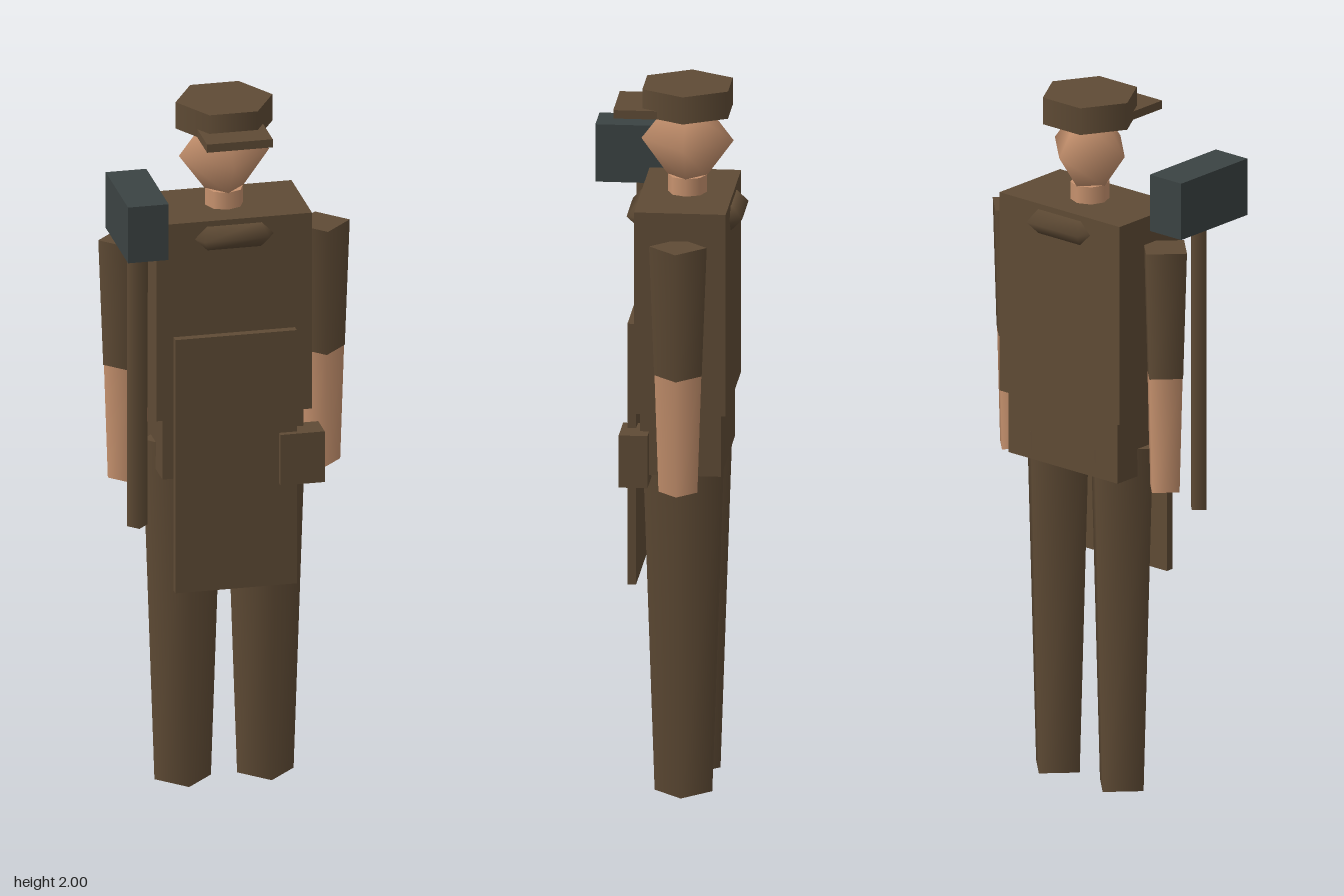
import * as THREE from 'three';

export function createModel() {
  const model = new THREE.Group();
  const material = (name, color) => {
    const m = new THREE.MeshStandardMaterial({ color });
    m.name = name;
    return m;
  };
  const cloth = material('brown cloth', 0x5f4b35);
  const skin = material('skin', 0xc8936f);
  const iron = material('dark iron', 0x3b4343);
  const BODY_Z = -0.06; // the body stands slightly behind the centre

  const add = (name, geometry, mat, x, y, z) => {
    const mesh = new THREE.Mesh(geometry, mat);
    mesh.name = name;
    mesh.position.set(x, y, z);
    model.add(mesh);
    return mesh;
  };
  // Box given by its limits on each axis
  const box = (name, mat, [x0, x1], [y0, y1], [z0, z1]) =>
    add(name, new THREE.BoxGeometry(x1 - x0, y1 - y0, z1 - z0), mat,
      (x0 + x1) / 2, (y0 + y1) / 2, (z0 + z1) / 2);
  // Upright tapered prism with a corner on the x axis
  const post = (name, mat, x, z, [y0, y1], rBottom, rTop, sides) =>
    add(name, new THREE.CylinderGeometry(rTop, rBottom, y1 - y0, sides, 1, false, Math.PI / 2),
      mat, x, (y0 + y1) / 2, z);

  // Torso and hips
  box('torso', cloth, [-0.22, 0.22], [1.11, 1.69], [-0.187, 0.067]);
  box('hips', cloth, [-0.2, 0.2], [0.93, 1.11], [-0.172, 0.052]);

  // Limbs, mirrored
  for (const [side, s] of [['left', 1], ['right', -1]]) {
    post(side + 'Leg', cloth, s * 0.117, BODY_Z, [0, 1.01], 0.08, 0.114, 4);
    post(side + 'Sleeve', cloth, s * 0.276, BODY_Z, [1.24, 1.61], 0.066, 0.08, 4);
    post(side + 'Forearm', skin, s * 0.275, BODY_Z, [0.905, 1.24], 0.054, 0.065, 4);
  }

  // Collar ring, sunk into the torso
  const collar = new THREE.TorusGeometry(0.15, 0.035, 4, 6).rotateX(Math.PI / 2);
  add('collar', collar, cloth, 0, 1.64, BODY_Z);

  // Neck and diamond-shaped head
  post('neck', skin, 0, BODY_Z, [1.67, 1.74], 0.054, 0.054, 8);
  const profile = [[0, -0.105], [0.052, -0.105], [0.128, 0], [0.052, 0.1], [0, 0.1]]
    .map(([r, y]) => new THREE.Vector2(r, y));
  add('head', new THREE.LatheGeometry(profile, 4), skin, 0, 1.84, BODY_Z);

  // Cap with brim
  post('cap', cloth, 0, BODY_Z, [1.922, 2], 0.137, 0.137, 6);
  box('capBrim', cloth, [-0.093, 0.093], [1.921, 1.945], [0.016, 0.137]);

  // Apron and pouch
  box('apron', cloth, [-0.172, 0.172], [0.605, 1.355], [0.066, 0.09]);
  box('beltPouch', cloth, [0.122, 0.247], [0.905, 1.055], [0.027, 0.107]);

  // Long hammer at the right hand
  post('hammerHandle', cloth, -0.278, 0.079, [0.812, 1.65], 0.029, 0.029, 4);
  box('hammerHead', iron, [-0.335, -0.22], [1.645, 1.81], [-0.06, 0.217]);

  return model;
}
